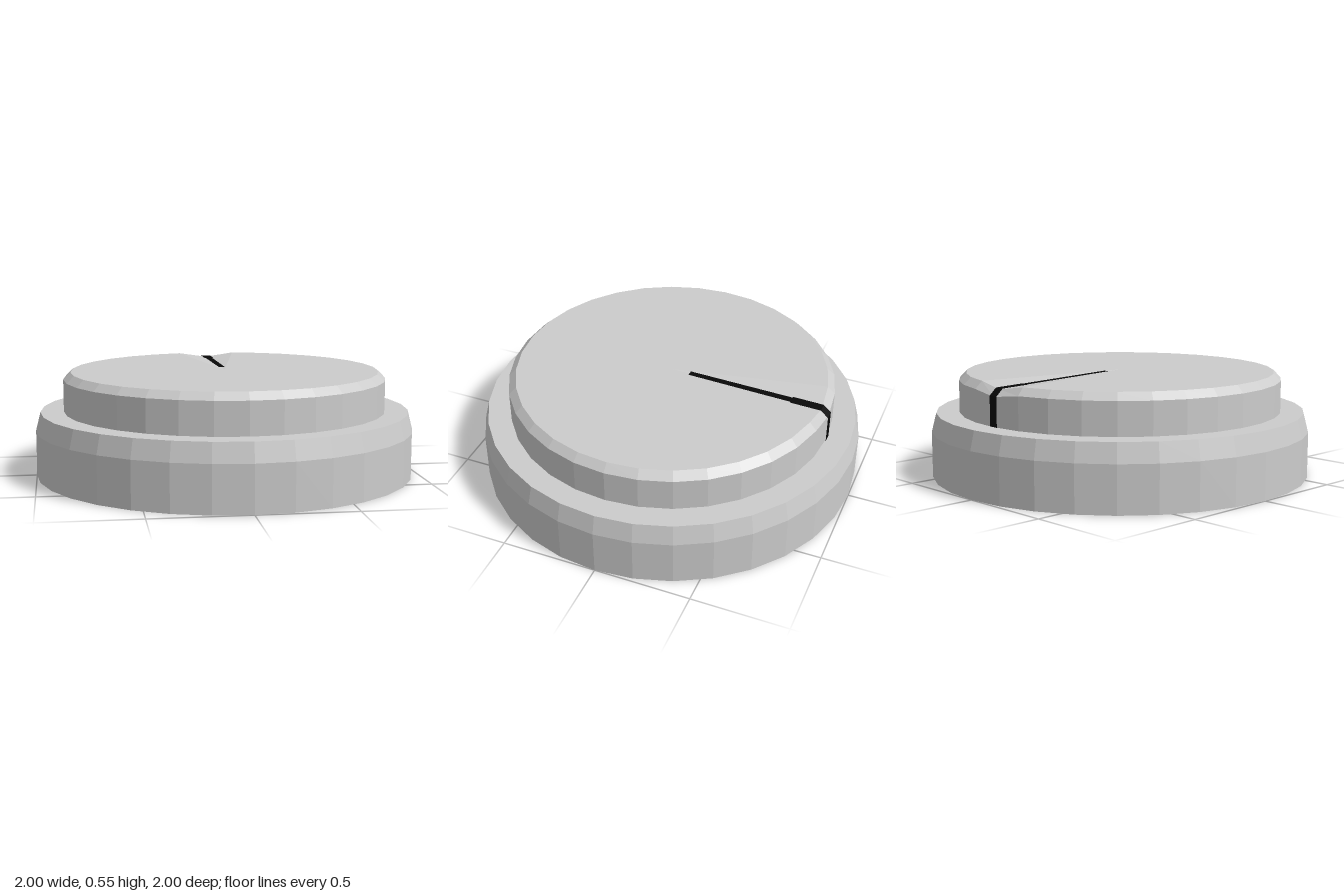
import * as THREE from 'three';

const SEGMENTS = 32;

export function createModel() {
  const group = new THREE.Group();
  group.name = 'dial';

  const grey = new THREE.MeshStandardMaterial({ color: 0xcccccc, flatShading: true, side: THREE.DoubleSide });
  grey.name = 'light grey';
  const black = new THREE.MeshStandardMaterial({ color: 0x080808, flatShading: true, side: THREE.DoubleSide });
  black.name = 'black';

  // Hollow stepped shell, open underneath
  const profile = [
    [1, 0], [1, 0.24], [0.975, 0.338], [0.853, 0.338],
    [0.853, 0.507], [0.815, 0.545], [0, 0.545],
  ].map(([r, y]) => new THREE.Vector2(r, y));
  const shellGeo = new THREE.LatheGeometry(profile, SEGMENTS);

  // Lower the two cap rim corners at the back to make a shallow notch
  const pos = shellGeo.attributes.position;
  const back = (SEGMENTS / 2) * profile.length;
  pos.setY(back + 4, 0.487);
  pos.setY(back + 5, 0.52);
  shellGeo.computeVertexNormals();
  const shell = new THREE.Mesh(shellGeo, grey);
  shell.name = 'shell';
  group.add(shell);

  // Pointer line across the cap, over the bevel and down the wall: [half width, y, z]
  const sections = [
    [0.016, 0.546, -0.1],
    [0.019, 0.531, -0.655],
    [0.026, 0.531, -0.656],
    [0.026, 0.527, -0.817],
    [0.026, 0.491, -0.857],
    [0.026, 0.339, -0.857],
  ];
  const verts = [];
  const index = [];
  sections.forEach(([w, y, z], i) => {
    verts.push(-w, y, z, w, y, z);
    if (i > 0) {
      const a = (i - 1) * 2;
      index.push(a, a + 1, a + 3, a, a + 3, a + 2);
    }
  });
  const lineGeo = new THREE.BufferGeometry();
  lineGeo.setAttribute('position', new THREE.Float32BufferAttribute(verts, 3));
  lineGeo.setIndex(index);
  lineGeo.computeVertexNormals();
  const line = new THREE.Mesh(lineGeo, black);
  line.name = 'pointerLine';
  group.add(line);

  return group;
}
